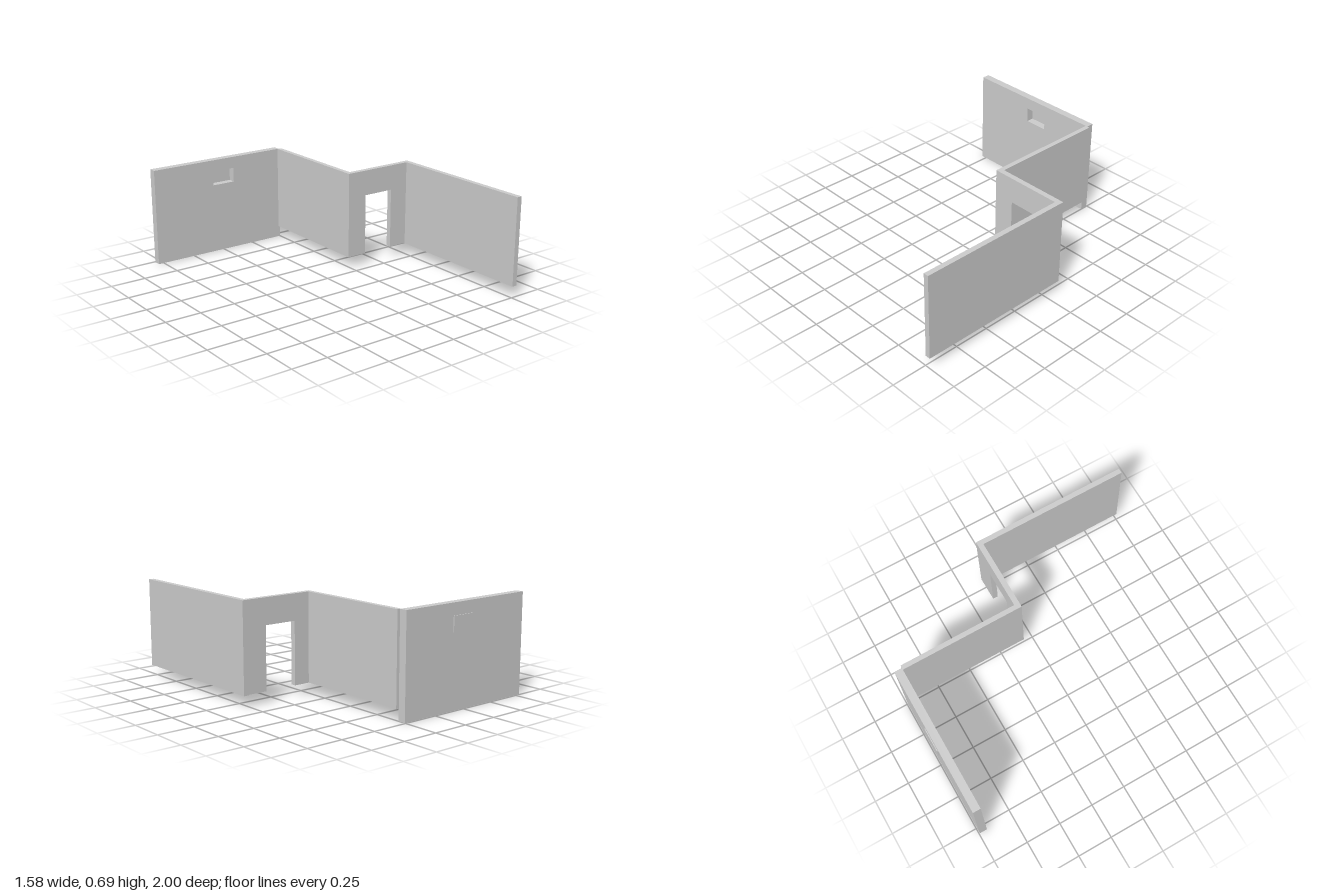
import * as THREE from 'three';

const material = new THREE.MeshStandardMaterial({ color: 0xcccccc, flatShading: true });

// Box given by its minimum and maximum corners
function slab(name, [x0, y0, z0], [x1, y1, z1]) {
  const mesh = new THREE.Mesh(new THREE.BoxGeometry(x1 - x0, y1 - y0, z1 - z0), material);
  mesh.position.set((x0 + x1) / 2, (y0 + y1) / 2, (z0 + z1) / 2);
  mesh.name = name;
  return mesh;
}

function trace(path, points) {
  points.forEach(([x, y], i) => (i ? path.lineTo(x, y) : path.moveTo(x, y)));
  path.closePath();
  return path;
}

const rect = (x0, y0, x1, y1) => [[x0, y0], [x1, y0], [x1, y1], [x0, y1]];

// Upright wall facing z, from an outline and optional hole
function panel(name, outline, hole, z0, z1) {
  const shape = trace(new THREE.Shape(), outline);
  if (hole) shape.holes.push(trace(new THREE.Path(), hole));
  const geometry = new THREE.ExtrudeGeometry(shape, { depth: z1 - z0, bevelEnabled: false });
  const mesh = new THREE.Mesh(geometry, material);
  mesh.position.z = z0;
  mesh.name = name;
  return mesh;
}

export function createModel() {
  const model = new THREE.Group();
  model.name = 'walls';
  const base = 0.08, top = 0.685;

  // Tall rear wall with a niche closed by a thin plate behind
  const niche = [-0.32, 0.5, -0.15, 0.603];
  model.add(panel('rearWall', rect(-0.79, 0, 0.25, top), rect(...niche), -0.994, -0.94));
  model.add(slab('nicheBack', [niche[0], niche[1], -1], [niche[2], niche[3], -0.994]));

  // Side wall running forward from the rear wall
  model.add(slab('innerSideWall', [0.238, base, -0.94], [0.271, top, -0.11]));

  // Cross wall with a doorway open at the bottom
  model.add(panel('doorwayWall', [
    [0.238, base], [0.385, base], [0.385, 0.507], [0.615, 0.507],
    [0.615, base], [0.754, base], [0.754, top], [0.238, top],
  ], null, -0.11, -0.073));

  // Long front side wall
  model.add(slab('outerSideWall', [0.754, 0.077, -0.11], [0.79, top, 1]));
  return model;
}
